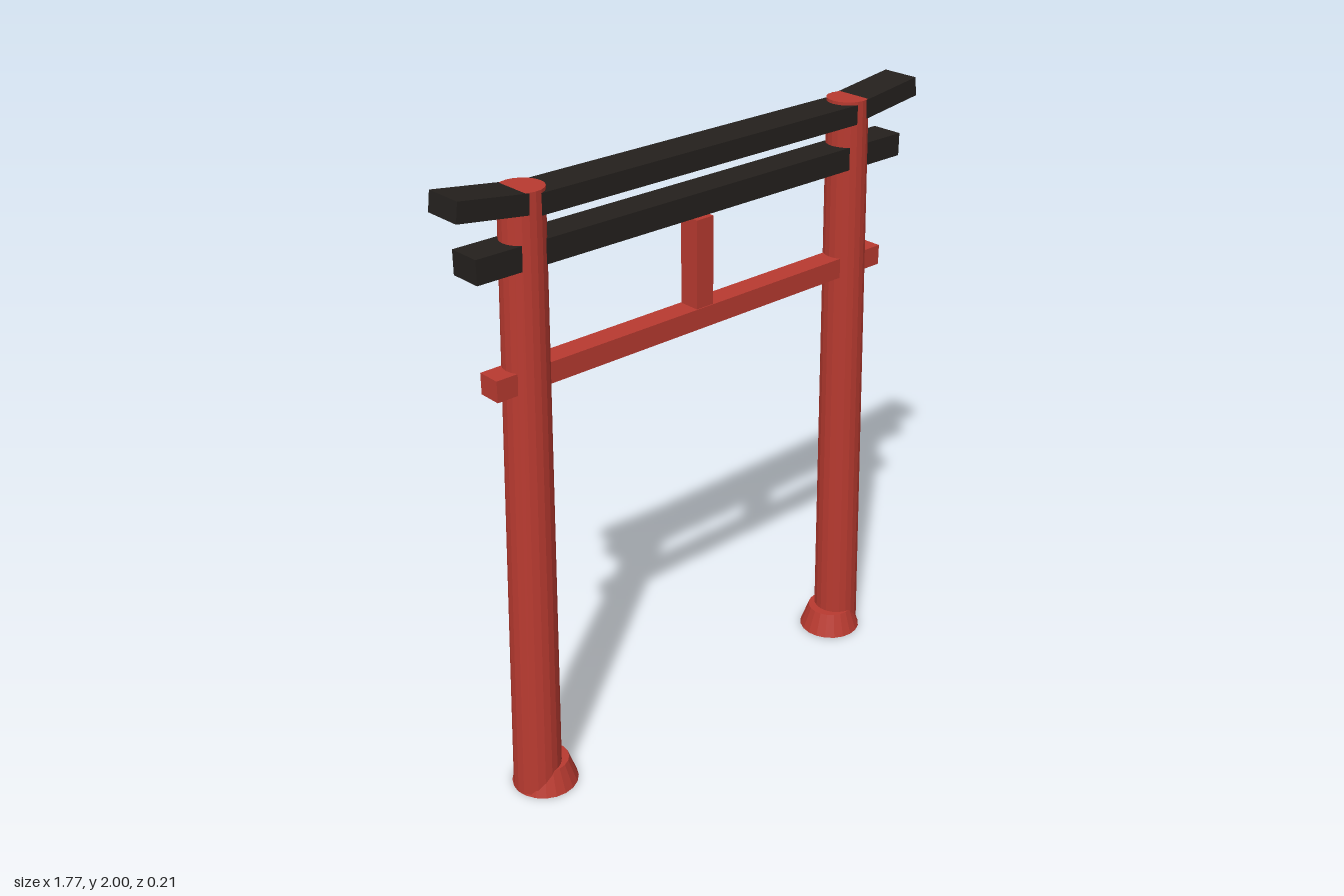
import * as THREE from 'three';

const red = new THREE.MeshStandardMaterial({ color: 0xb83a30, flatShading: true });
const black = new THREE.MeshStandardMaterial({ color: 0x24201d, flatShading: true });

export function createModel() {
  const gate = new THREE.Group();
  gate.name = 'gate';

  const add = (name, geometry, material, x, y, z = 0) => {
    const mesh = new THREE.Mesh(geometry, material);
    mesh.name = name;
    mesh.position.set(x, y, z);
    gate.add(mesh);
    return mesh;
  };
  const box = (name, material, w, h, d, x, y) =>
    add(name, new THREE.BoxGeometry(w, h, d), material, x, y);

  for (const [side, s] of [['left', 1], ['right', -1]]) {
    // Tapered post leaning inward, with level ends
    const height = 1.97, bottomX = 0.685, topX = 0.63;
    const post = new THREE.CylinderGeometry(0.066, 0.077, height, 20);
    const lean = (s * (topX - bottomX)) / height;
    post.applyMatrix4(new THREE.Matrix4().makeShear(0, 0, lean, 0, 0, 0));
    add(side + 'Post', post, red, (s * (bottomX + topX)) / 2, height / 2);

    // Flared foot
    add(side + 'Foot', new THREE.CylinderGeometry(0.078, 0.106, 0.08, 20), red, s * 0.655, 0.04);

    // Upturned end of the top beam
    const end = box(side + 'TopBeamEnd', black, 0.26, 0.06, 0.126, s * 0.75, 1.952);
    end.rotation.z = s * 0.135;
  }

  // Crossbeams running between and through the posts
  box('topBeam', black, 1.24, 0.062, 0.126, 0, 1.929);
  box('secondBeam', black, 1.65, 0.073, 0.106, 0, 1.789);
  box('tieBeam', red, 1.546, 0.066, 0.076, 0, 1.421);

  // Short strut standing on the tie beam
  box('centreStrut', red, 0.066, 0.3, 0.07, 0, 1.585);

  return gate;
}
